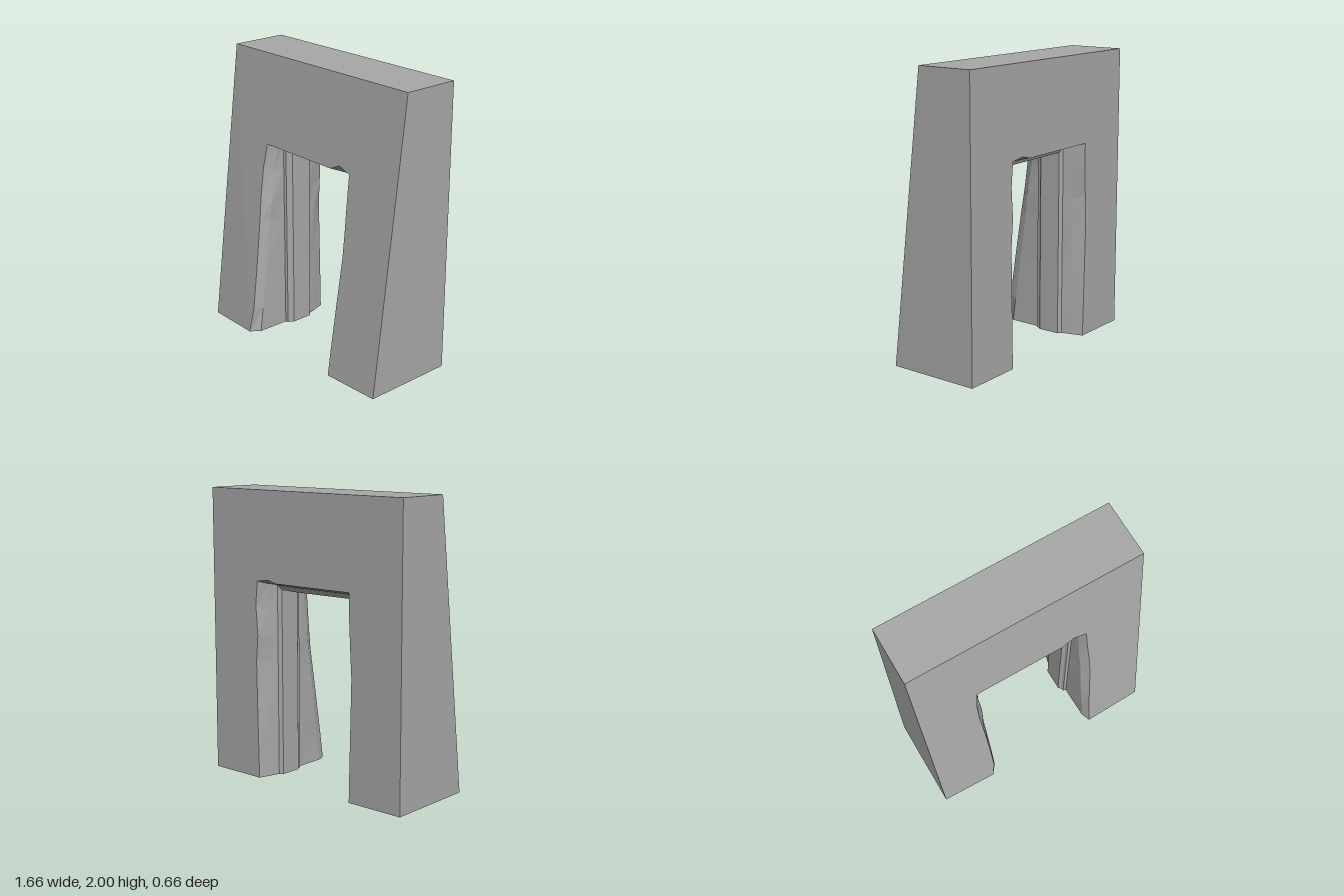
import * as THREE from 'three';

const W = 0.83, H = 2, BACK = -0.333, FRONT = 0.33, TOPZ = 0.07;
const slope = (FRONT - TOPZ) / H;
const frontZ = y => FRONT - slope * y;

// relative heights where the worn jamb edges are broken
const LEVELS = [0, 0.13, 0.36, 0.6, 0.73, 0.88, 1];
const NONE = [0, 0, 0, 0, 0, 0, 0];
// depth layers of the opening, front to back: half width, height, depth rule, wear of each edge
const LAYERS = [
  { w: 0.408, t: 1.385, z: frontZ, l: [0.025, 0, 0.005, 0.015, 0.025, 0.025, 0.005], r: [0, 0.002, 0.01, 0.02, 0.015, 0.005, 0], chip: 0.033 },
  { w: 0.383, t: 1.36, z: y => frontZ(y) - 0.065, l: [0, 0, 0.003, 0.008, 0, 0.012, 0], r: [0, 0.004, 0, 0.006, 0, 0, 0], chip: 0 },
  { w: 0.38, t: 1.355, z: () => 0.035, l: NONE, r: NONE, chip: 0 },
  { w: 0.36, t: 1.342, z: () => 0.03, l: NONE, r: NONE, chip: 0 },
  { w: 0.356, t: 1.335, z: () => 0.01, l: NONE, r: NONE, chip: 0 },
  { w: 0.338, t: 1.313, z: () => -0.01, l: NONE, r: NONE, chip: 0 },
  { w: 0.338, t: 1.313, z: () => -0.165, l: NONE, r: NONE, chip: 0 },
  { w: 0.365, t: 1.345, z: () => -0.18, l: NONE, r: NONE, chip: 0 },
  { w: 0.382, t: 1.36, z: () => -0.245, l: [0, 0, 0.005, 0, 0.008, 0, 0], r: [0, 0.003, 0, 0.008, 0, 0.004, 0], chip: 0 },
  { w: 0.408, t: 1.385, z: () => BACK, l: [0, 0.004, 0.012, 0.02, 0.01, 0, 0], r: [0, 0.004, 0.01, 0.015, 0, 0.015, 0], chip: 0.015 },
];

// outline of one layer: up the right jamb, over the head, down the left jamb
function outline({ w, t, z, l, r, chip }) {
  const pts = LEVELS.map((h, i) => [-w - l[i], h * t]);
  pts.push([0.23, t - 0.004], [0.31, t + chip]);
  for (let i = LEVELS.length - 1; i >= 0; i--) pts.push([w + r[i], LEVELS[i] * t]);
  return pts.map(([x, y]) => new THREE.Vector3(x, y, z(y)));
}

// flat-faced geometry from a list of four-cornered faces
function quads(list) {
  const pos = [];
  for (const [a, b, c, d] of list)
    for (const p of [a, b, c, a, c, d]) pos.push(p.x, p.y, p.z);
  const g = new THREE.BufferGeometry();
  g.setAttribute('position', new THREE.Float32BufferAttribute(pos, 3));
  g.computeVertexNormals();
  return g;
}

// the wall face around an opening, with each corner moved to its depth
function wallFace(pts, zRule, flip) {
  const shape = new THREE.Shape([
    new THREE.Vector2(-W, 0), ...pts.map(p => new THREE.Vector2(p.x, p.y)),
    new THREE.Vector2(W, 0), new THREE.Vector2(W, H), new THREE.Vector2(-W, H),
  ]);
  const g = new THREE.ShapeGeometry(shape);
  const p = g.attributes.position;
  for (let i = 0; i < p.count; i++) p.setZ(i, zRule(p.getX(i), p.getY(i)));
  if (flip) g.setIndex(Array.from(g.index.array).reverse());
  g.computeVertexNormals();
  return g;
}

export function createModel() {
  const model = new THREE.Group();
  model.name = 'gateway';
  const stone = new THREE.MeshStandardMaterial({ color: 0xa8a8a8, flatShading: true, side: THREE.DoubleSide });
  stone.name = 'grey stone';
  const add = (name, geometry) => {
    const m = new THREE.Mesh(geometry, stone);
    m.name = name;
    model.add(m);
  };
  const V = (x, y, z) => new THREE.Vector3(x, y, z);
  const loops = LAYERS.map(outline);
  const edgeZ = FRONT - 0.012;

  // sloping front and upright back
  add('frontFace', wallFace(loops[0], (x, y) =>
    Math.abs(x) > W - 0.01 && y < 0.01 ? edgeZ : frontZ(y), false));
  add('backFace', wallFace(loops[loops.length - 1], () => BACK, true));

  // outer sides and top
  add('leftSide', quads([[V(W, 0, edgeZ), V(W, 0, BACK), V(W, H, BACK), V(W, H, TOPZ)]]));
  add('rightSide', quads([[V(-W, 0, BACK), V(-W, 0, edgeZ), V(-W, H, TOPZ), V(-W, H, BACK)]]));
  add('top', quads([[V(-W, H, TOPZ), V(W, H, TOPZ), V(W, H, BACK), V(-W, H, BACK)]]));

  // stepped and worn lining of the opening
  const lining = [];
  for (let k = 0; k < loops.length - 1; k++)
    for (let i = 0; i < loops[k].length - 1; i++)
      lining.push([loops[k][i], loops[k + 1][i], loops[k + 1][i + 1], loops[k][i + 1]]);
  add('openingLining', quads(lining));

  // undersides of the two piers
  for (const side of [-1, 1]) {
    const inner = loops.map(l => (side < 0 ? l[0] : l[l.length - 1]));
    const shape = new THREE.Shape([
      new THREE.Vector2(side * W, edgeZ), ...inner.map(p => new THREE.Vector2(p.x, p.z)),
      new THREE.Vector2(side * W, BACK),
    ]);
    add(side < 0 ? 'rightPierBase' : 'leftPierBase', new THREE.ShapeGeometry(shape).rotateX(Math.PI / 2));
  }
  return model;
}
